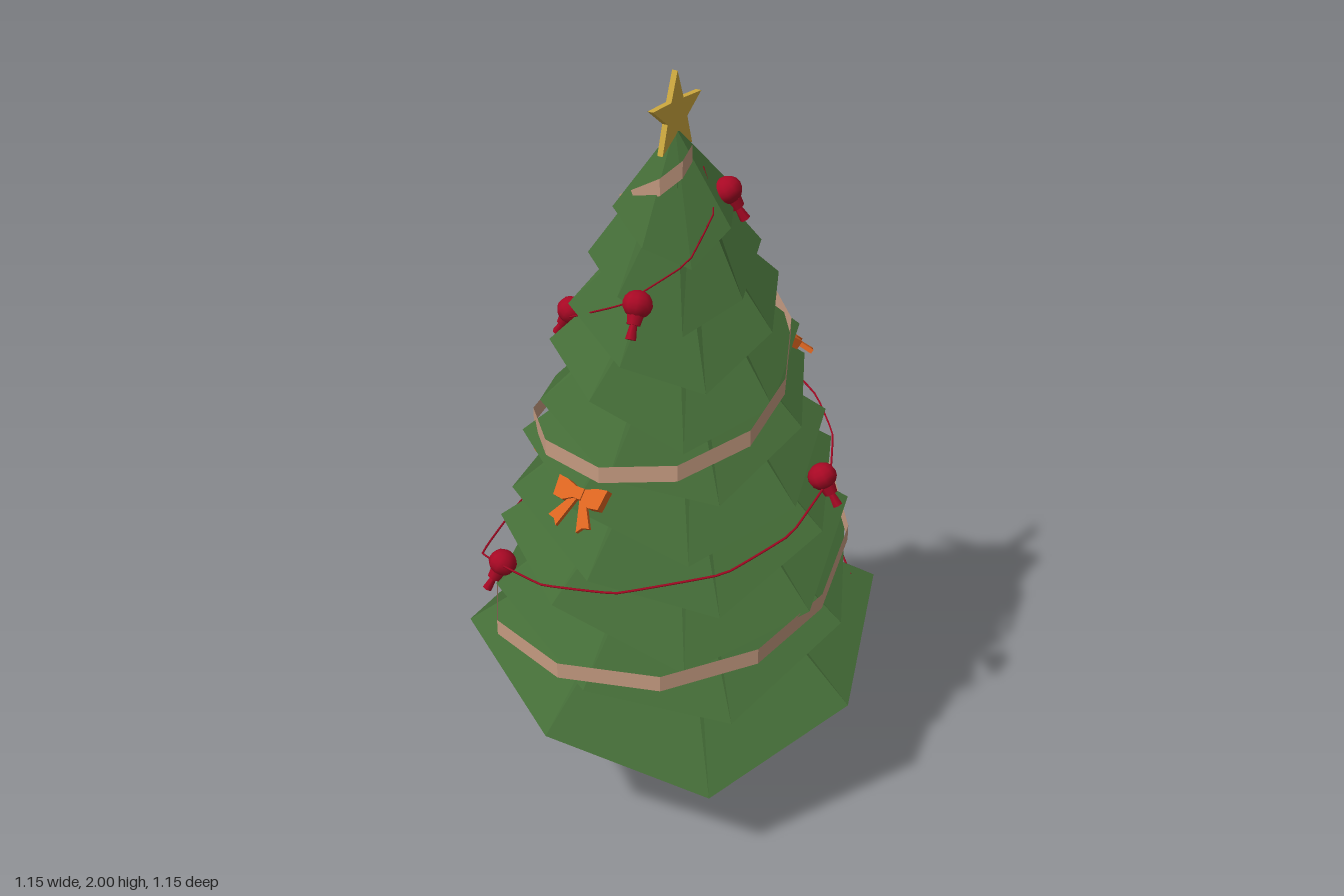
import * as THREE from 'three';

const mat = (name, color, extra = {}) => {
  const m = new THREE.MeshStandardMaterial({ color, flatShading: true, ...extra });
  m.name = name;
  return m;
};
const deg = Math.PI / 180;
// angle is measured from the front (+z) towards +x
const polar = (angle, r, y) => new THREE.Vector3(Math.sin(angle * deg) * r, y, Math.cos(angle * deg) * r);

export function createModel() {
  const tree = new THREE.Group();
  tree.name = 'decoratedTree';
  const green = mat('needle green', 0x446c37, { side: THREE.DoubleSide });
  const bark = mat('bark brown', 0x74575a);
  const tan = mat('ribbon tan', 0xc49a80, { side: THREE.DoubleSide });
  const red = mat('bauble red', 0xa80824, { flatShading: false });
  const orange = mat('bow orange', 0xdb6420);
  const gold = mat('star gold', 0xcda83e);

  const add = (parent, name, geometry, material) => {
    const mesh = new THREE.Mesh(geometry, material);
    mesh.name = name;
    parent.add(mesh);
    return mesh;
  };

  // Square tapering trunk
  const trunkProfile = [[0, 0], [0.172, 0], [0.115, 0.5], [0.09, 0.8], [0.055, 1.68], [0, 1.7]]
    .map(([r, y]) => new THREE.Vector2(r, y));
  const trunk = add(tree, 'trunk', new THREE.LatheGeometry(trunkProfile, 4, 24 * deg), bark);
  trunk.position.x = 0.005;

  // Eight-sided cones reaching in to the trunk: radius and height of hem, twist in degrees.
  // Each hem is saddle-shaped: low at front left and back right, high on the other diagonal.
  const tiers = [[0.575, 0.355, -2], [0.505, 0.52, 6], [0.475, 0.67, -8], [0.445, 0.81, 4], [0.405, 0.945, -6],
    [0.365, 1.08, 7], [0.325, 1.215, -7], [0.28, 1.345, 5], [0.22, 1.47, -6], [0.16, 1.61, 4]];
  tiers.forEach(([r, y, twist], k) => {
    const last = k === tiers.length - 1;
    const h = last ? 0.25 : 0.2 + 0.38 * r;
    const g = new THREE.CylinderGeometry(last ? 0 : 0.055, r, h, 8, 1, true);
    g.translate(0, y + h / 2, 0).rotateY(twist * deg);
    const p = g.attributes.position;
    const sway = Math.sqrt(r / 0.575);
    for (let i = 9; i < p.count; i++) {
      const a = Math.atan2(p.getX(i), p.getZ(i));
      const saddle = -0.125 * Math.cos(2 * (a - 45 * deg)) + 0.015 * Math.cos(a - 131 * deg);
      p.setY(i, y + sway * saddle);
    }
    add(tree, 'branchTier', g, green);
  });

  // Wide ribbon spiralling up the tree: angle, radius, height
  const ribbon = [[-58, 0.5, 0.51], [-30, 0.53, 0.535], [0, 0.54, 0.55], [30, 0.52, 0.56], [60, 0.49, 0.59],
    [90, 0.47, 0.64], [120, 0.475, 0.71], [150, 0.48, 0.8], [180, 0.45, 0.87], [215, 0.43, 0.92],
    [245, 0.42, 0.96], [275, 0.4, 1.01], [305, 0.375, 1.06], [335, 0.385, 1.07], [365, 0.39, 1.07],
    [395, 0.385, 1.1], [425, 0.365, 1.16], [450, 0.335, 1.24], [480, 0.3, 1.33], [510, 0.27, 1.39],
    [540, 0.25, 1.44], [580, 0.23, 1.51], [620, 0.17, 1.58], [655, 0.14, 1.65], [690, 0.115, 1.69],
    [730, 0.09, 1.73], [770, 0.07, 1.77], [805, 0.055, 1.8]];
  const strip = [];
  for (let i = 0; i < ribbon.length - 1; i++) {
    const [a, b] = [ribbon[i], ribbon[i + 1]].map((q) => polar(...q));
    const [c, d] = [a, b].map((v) => v.clone().setY(v.y + 0.025));
    a.y -= 0.02;
    b.y -= 0.02;
    for (const v of [a, b, d, a, d, c]) strip.push(v.x, v.y, v.z);
  }
  const ribbonGeometry = new THREE.BufferGeometry();
  ribbonGeometry.setAttribute('position', new THREE.Float32BufferAttribute(strip, 3));
  ribbonGeometry.computeVertexNormals();
  add(tree, 'ribbon', ribbonGeometry, tan);

  // Thin red cord spiralling up the tree: angle, radius, height
  const cord = [[130, 0.5, 0.52], [155, 0.54, 0.52], [177, 0.56, 0.48], [200, 0.6, 0.5], [223, 0.57, 0.54],
    [247, 0.54, 0.58], [270, 0.53, 0.63], [312, 0.53, 0.67], [345, 0.46, 0.72], [375, 0.455, 0.78],
    [410, 0.45, 0.84], [435, 0.45, 0.9], [460, 0.44, 0.97], [480, 0.42, 1.02], [500, 0.4, 1.06],
    [520, 0.39, 1.09], [545, 0.36, 1.12], [585, 0.32, 1.2], [630, 0.29, 1.28], [675, 0.275, 1.37],
    [720, 0.235, 1.47], [765, 0.17, 1.57], [810, 0.12, 1.67], [835, 0.07, 1.76]];
  const cordCurve = new THREE.CatmullRomCurve3(cord.map((q) => polar(...q)), false, 'catmullrom', 0.1);
  add(tree, 'cord', new THREE.TubeGeometry(cordCurve, 120, 0.003, 4), red);

  // Round baubles with a small flared tail leaning outwards
  const baubles = [[0.11, 1.695, -0.07], [0.05, 1.485, 0.235], [-0.31, 1.3, 0.035], [0.42, 0.98, -0.06],
    [-0.31, 0.68, 0.37], [-0.49, 0.535, -0.24], [-0.12, 1.12, -0.355]];
  for (const [x, y, z] of baubles) {
    const bauble = new THREE.Group();
    bauble.name = 'bauble';
    const body = add(bauble, 'baubleBody', new THREE.SphereGeometry(0.039, 10, 8), red);
    body.scale.y = 0.9;
    add(bauble, 'baubleCollar', new THREE.CylinderGeometry(0.022, 0.018, 0.024, 8), red).position.y = -0.04;
    add(bauble, 'baubleTail', new THREE.CylinderGeometry(0.008, 0.014, 0.045, 6), red).position.y = -0.066;
    bauble.position.set(x, y, z);
    bauble.rotation.order = 'YXZ';
    bauble.rotation.set(-0.55, Math.atan2(x, z), 0);
    tree.add(bauble);
  }

  // Bows lying on the slope of the tiers: position, turn, lean
  const flat = (points, depth) => {
    const shape = new THREE.Shape(points.map(([x, y]) => new THREE.Vector2(x, y)));
    return new THREE.ExtrudeGeometry(shape, { depth, bevelEnabled: false }).translate(0, 0, -depth / 2);
  };
  const loopShape = [[0.008, -0.012], [0.04, -0.028], [0.07, -0.024], [0.075, 0.03], [0.045, 0.026], [0.008, 0.012]];
  const tailShape = [[0, 0], [0.018, -0.005], [0.064, -0.075], [0.044, -0.08], [0.032, -0.095]];
  const mirrored = (points) => points.map(([x, y]) => [-x, y]);
  const bows = [[-0.025, 0.995, 0.385, 0, -0.75], [-0.375, 0.895, 0, -90, -0.85], [0.165, 1.245, -0.265, 147, -0.95]];
  for (const [x, y, z, turn, lean] of bows) {
    const bow = new THREE.Group();
    bow.name = 'bow';
    add(bow, 'bowKnot', new THREE.BoxGeometry(0.026, 0.03, 0.034), orange);
    for (const shape of [loopShape, mirrored(loopShape)]) add(bow, 'bowLoop', flat(shape, 0.026), orange);
    for (const shape of [tailShape, mirrored(tailShape)]) add(bow, 'bowTail', flat(shape, 0.012), orange);
    bow.position.set(x, y, z);
    bow.rotation.order = 'YXZ';
    bow.rotation.set(lean, turn * deg, 0);
    tree.add(bow);
  }

  // Five-pointed star facing sideways
  const starRing = Array.from({ length: 10 }, (_, i) => {
    const r = i % 2 ? 0.045 : 0.11;
    return [Math.sin(i * 36 * deg) * r, Math.cos(i * 36 * deg) * r];
  });
  const star = add(tree, 'star', flat(starRing, 0.016), gold);
  star.rotation.y = Math.PI / 2;
  star.position.y = 1.89;

  return tree;
}
